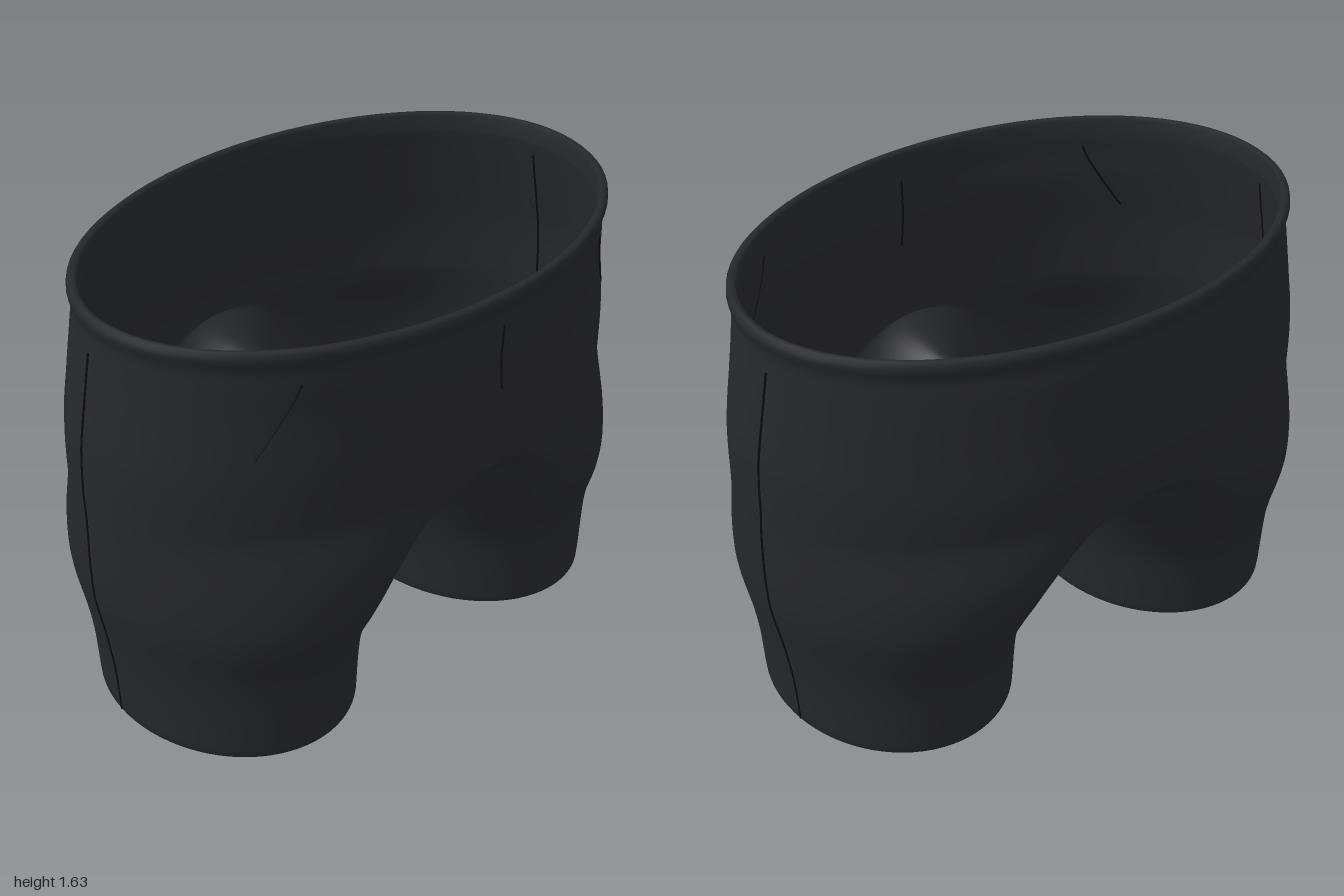
import * as THREE from 'three';
import { mergeGeometries, mergeVertices } from 'three/addons/utils/BufferGeometryUtils.js';

const HEM = 0.17, SPLIT = 1.02, TOP = 1.63, CROTCH = 0.9;
const N = 40; // columns per half turn

// Smooth interpolation through [position, value] pairs
function profile(pairs) {
  const curve = (i) => pairs[Math.max(0, Math.min(pairs.length - 1, i))];
  return (p) => {
    let i = 0;
    while (i < pairs.length - 2 && p > pairs[i + 1][0]) i++;
    const [a, b, c, d] = [curve(i - 1), curve(i), curve(i + 1), curve(i + 2)];
    const h = c[0] - b[0];
    const t = Math.max(0, Math.min(1, (p - b[0]) / h));
    const m0 = (c[1] - a[1]) / (c[0] - a[0]) * h;
    const m1 = (d[1] - b[1]) / (d[0] - b[0]) * h;
    const t2 = t * t, t3 = t2 * t;
    return (2 * t3 - 3 * t2 + 1) * b[1] + (t3 - 2 * t2 + t) * m0 + (3 * t2 - 2 * t3) * c[1] + (t3 - t2) * m1;
  };
}

// Half width, front depth and back depth by height
const width = profile([[0.17, 0.935], [0.35, 0.945], [0.5, 0.965], [0.7, 0.998], [1, 0.998], [1.2, 0.99],
  [1.35, 0.965], [1.5, 0.937], [1.57, 0.928], [1.6, 0.938], [1.63, 0.935]]);
const front = profile([[0.17, 0.465], [0.4, 0.478], [0.5, 0.5], [0.6, 0.545], [0.7, 0.58], [0.85, 0.61],
  [1, 0.615], [1.2, 0.62], [1.4, 0.62], [1.5, 0.632], [1.57, 0.638], [1.6, 0.65], [1.63, 0.65]]);
const back = profile([[0.17, 0.46], [0.4, 0.478], [0.5, 0.505], [0.6, 0.55], [0.7, 0.595], [0.85, 0.64],
  [1, 0.65], [1.15, 0.655], [1.3, 0.645], [1.5, 0.635], [1.57, 0.628], [1.6, 0.638], [1.63, 0.635]]);
// Inner leg line by fraction of the way from hem to crotch
const inner = profile([[0, 0.165], [0.3, 0.152], [0.45, 0.132], [0.6, 0.1], [0.73, 0.06], [0.87, 0.025], [1, 0]]);

// Point on the left half: t runs 0..1 from hem to crotch, above 1 is the trunk
function surface(phi, t, inset = 0, lift = 0) {
  const c = Math.cos(phi), s = Math.sin(phi);
  const leg = Math.min(t, 1);
  const end = c < -1e-9 ? CROTCH + (SPLIT - CROTCH) * Math.abs(s) ** 3 : SPLIT;
  const y = HEM + t * (end - HEM);
  const W = width(y) - inset;
  const Z = (s > 0 ? front(y) : back(y)) - inset;
  const cx = 0.55 * Math.sqrt(Math.max(0, 1 - leg ** 2.5));
  const xin = t < 1 ? inner(t) + inset : 0;
  const x = cx + (c > 0 ? W - cx : cx - xin) * c;
  // blend from a leg ellipse into the hip ellipse
  const hip = c > 0 ? Math.sqrt(Math.max(0, 1 - (x / W) ** 2)) * Math.sign(s) : s * Math.sqrt(1 - (cx / W) ** 2);
  const z = Z * THREE.MathUtils.lerp(s, hip, leg ** 3);
  return new THREE.Vector3(Math.abs(x) < 1e-6 ? 0 : x, y + lift, z);
}

const heightToT = (y) => (y - HEM) / (SPLIT - HEM);

// Grid of rows (bottom to top) turned into a surface, optionally mirrored in x
function loft(rows, mirror) {
  const cols = rows[0].length, pos = [], index = [];
  for (const row of rows) for (const p of row) pos.push(mirror ? -p.x : p.x, p.y, p.z);
  for (let i = 0; i < rows.length - 1; i++) {
    for (let j = 0; j < cols - 1; j++) {
      const a = i * cols + j, b = a + 1, d = a + cols, e = d + 1;
      if (mirror) index.push(a, b, d, b, e, d);
      else index.push(a, d, b, b, d, e);
    }
  }
  const g = new THREE.BufferGeometry();
  g.setAttribute('position', new THREE.Float32BufferAttribute(pos, 3));
  g.setIndex(index);
  return g;
}

function shortsGeometry() {
  const ring = (count, t, inset, lift) => Array.from({ length: count + 1 },
    (_, j) => surface(-Math.PI / 2 + Math.PI * j / N, t, inset, lift));
  // Leg: rolled hem, then up to the hip and crotch line
  const legRows = [ring(2 * N, 0, 0.016, 0.06), ring(2 * N, 0, 0.014, 0.004), ring(2 * N, 0, 0.008, 0)];
  const legSteps = 44;
  for (let i = 0; i <= legSteps; i++) {
    legRows.push(ring(2 * N, 1 - (1 - i / legSteps) ** 1.8, 0, i === 0 ? 0.006 : 0));
  }
  // Trunk: hip line to the waist, then a rolled lip
  const trunkRows = [];
  const trunkSteps = 36;
  for (let i = 0; i <= trunkSteps; i++) {
    trunkRows.push(ring(N, heightToT(SPLIT + (TOP - 0.008 - SPLIT) * i / trunkSteps), 0, 0));
  }
  const top = heightToT(TOP);
  for (const [inset, lift] of [[0.008, 0], [0.022, 0], [0.03, -0.008], [0.034, -0.06]]) {
    trunkRows.push(ring(N, top, inset, lift));
  }
  const parts = [];
  for (const mirror of [false, true]) parts.push(loft(legRows, mirror), loft(trunkRows, mirror));
  const g = mergeVertices(mergeGeometries(parts), 1e-4);
  g.computeVertexNormals();
  return g;
}

export function createModel() {
  const model = new THREE.Group();
  const cloth = new THREE.MeshStandardMaterial({ color: 0x26272b, side: THREE.DoubleSide });
  const thread = new THREE.MeshStandardMaterial({ color: 0x0c0c0e });
  const tan = new THREE.MeshStandardMaterial({ color: 0xdcc194, side: THREE.DoubleSide });
  const add = (name, geometry, material) => {
    const mesh = new THREE.Mesh(geometry, material);
    mesh.name = name;
    model.add(mesh);
    return mesh;
  };

  add('shorts', shortsGeometry(), cloth);

  // Stitched lines lying on the cloth
  const seam = (name, points) => add(name,
    new THREE.TubeGeometry(new THREE.CatmullRomCurve3(points), points.length * 3, 0.004, 5), thread);
  const onFront = (x, y) => new THREE.Vector3(x, y, front(y) * Math.sqrt(1 - (x / width(y)) ** 2));
  const dart = (name, x0, x1) => seam(name, Array.from({ length: 7 }, (_, i) => {
    const t = i / 6;
    return onFront(THREE.MathUtils.lerp(x0, x1, t ** 1.2), 1.52 - 0.23 * t);
  }));
  dart('frontSeam', 0.01, 0.03);
  for (const side of [1, -1]) {
    const label = side > 0 ? 'left' : 'right';
    dart(label + 'PocketSeam', side * 0.62, side * 0.74);
    seam(label + 'SideSeam', Array.from({ length: 24 }, (_, i) => {
      const y = 0.18 + 1.33 * i / 23;
      const p = surface(-Math.asin(0.07 / back(y)), heightToT(y));
      p.x *= side;
      return p;
    }));
  }

  // Shallow oval bowls inside the leg openings
  const bowl = [[0, 0], [0.2, 0.005], [0.4, 0.02], [0.6, 0.045], [0.78, 0.08], [0.91, 0.115], [0.985, 0.142],
    [1, 0.152], [1, 0.168], [0.985, 0.174], [0.965, 0.168], [0.9, 0.13], [0.77, 0.095], [0.6, 0.06],
    [0.4, 0.035], [0.2, 0.02], [0, 0.015]].map(([x, y]) => new THREE.Vector2(x, y));
  for (const side of [1, -1]) {
    const mesh = add(side > 0 ? 'leftLegBowl' : 'rightLegBowl', new THREE.LatheGeometry(bowl, 64), tan);
    mesh.scale.set(0.283, 1, 0.335);
    mesh.position.x = side * 0.553;
  }
  return model;
}
